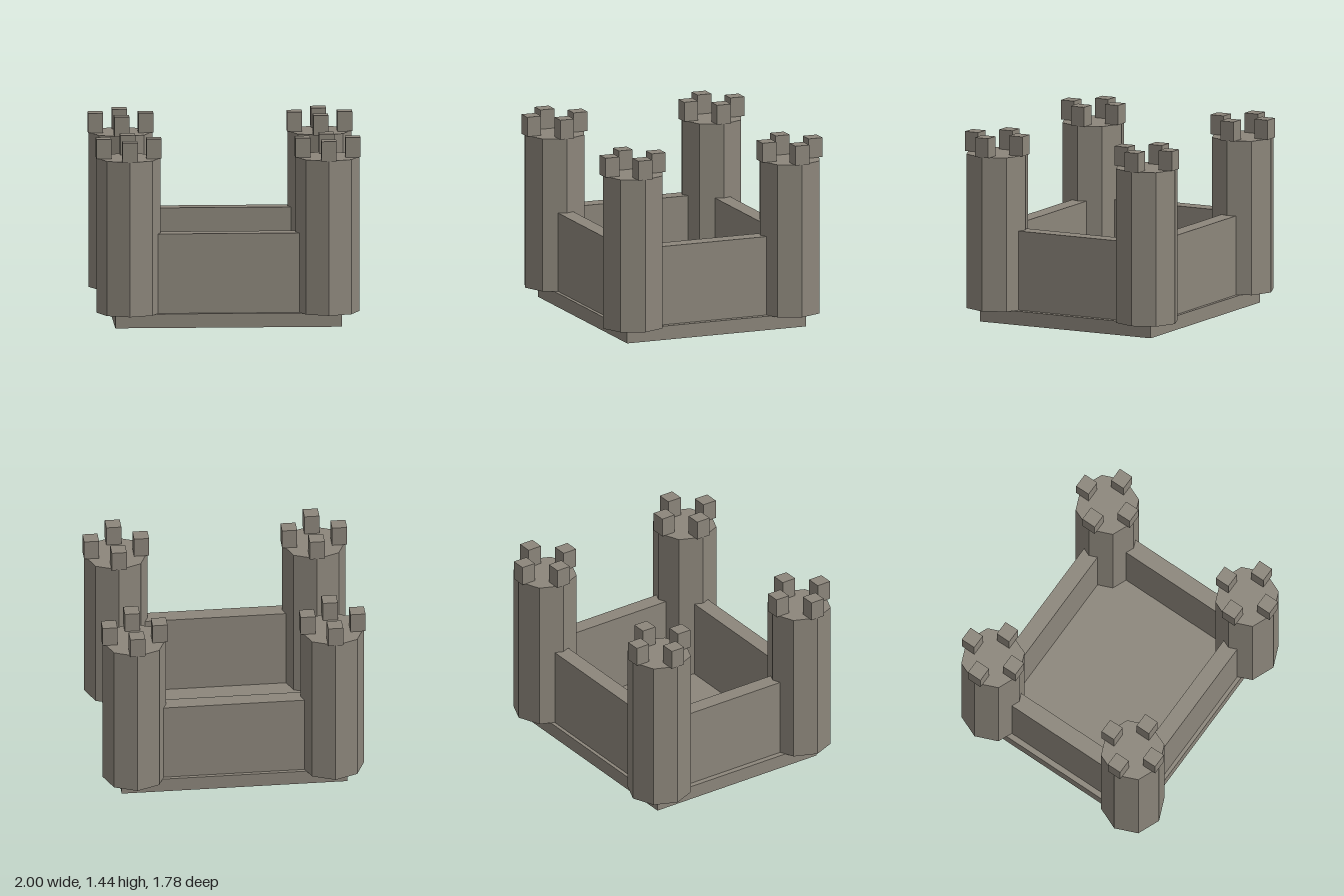
import * as THREE from 'three';

export function createModel() {
  const castle = new THREE.Group();
  castle.name = 'castle';

  const stone = new THREE.MeshStandardMaterial({ color: 0x8c867b, flatShading: true });
  stone.name = 'stone';

  const BASE_TOP = 0.107, WALL_TOP = 0.715, TOWER_TOP = 1.29, MERLON_TOP = 1.44;
  const TX = 0.753, TZ = 0.645; // tower centres
  const RADIUS = 0.243, WALL = 0.124, MERLON = 0.114, RING = 0.19;

  // Adds a mesh standing between two heights
  function add(parent, name, geometry, x, y0, y1, z) {
    const mesh = new THREE.Mesh(geometry, stone);
    mesh.name = name;
    mesh.position.set(x, (y0 + y1) / 2, z);
    parent.add(mesh);
  }

  // Base slab
  add(castle, 'base', new THREE.BoxGeometry(1.716, BASE_TOP, 1.47), 0, 0, BASE_TOP, 0);

  // Curtain walls, running between the tower centres
  const wallHeight = WALL_TOP - BASE_TOP;
  const longWall = new THREE.BoxGeometry(2 * TX, wallHeight, WALL);
  const sideWall = new THREE.BoxGeometry(WALL, wallHeight, 2 * TZ);
  add(castle, 'frontWall', longWall, 0, BASE_TOP, WALL_TOP, TZ);
  add(castle, 'backWall', longWall, 0, BASE_TOP, WALL_TOP, -TZ);
  add(castle, 'leftWall', sideWall, TX, BASE_TOP, WALL_TOP, 0);
  add(castle, 'rightWall', sideWall, -TX, BASE_TOP, WALL_TOP, 0);

  // Octagonal corner towers, each with four merlons
  const shaft = new THREE.CylinderGeometry(RADIUS, RADIUS, TOWER_TOP - BASE_TOP, 8);
  const merlon = new THREE.BoxGeometry(MERLON, MERLON_TOP - TOWER_TOP, MERLON);
  for (const sx of [-1, 1]) {
    for (const sz of [-1, 1]) {
      const tower = new THREE.Group();
      tower.name = (sz > 0 ? 'front' : 'back') + (sx > 0 ? 'Left' : 'Right') + 'Tower';
      tower.position.set(sx * TX, 0, sz * TZ);
      add(tower, 'shaft', shaft, 0, BASE_TOP, TOWER_TOP, 0);
      for (const [dx, dz] of [[1, 0], [-1, 0], [0, 1], [0, -1]]) {
        add(tower, 'merlon', merlon, dx * RING, TOWER_TOP, MERLON_TOP, dz * RING);
      }
      castle.add(tower);
    }
  }
  return castle;
}
